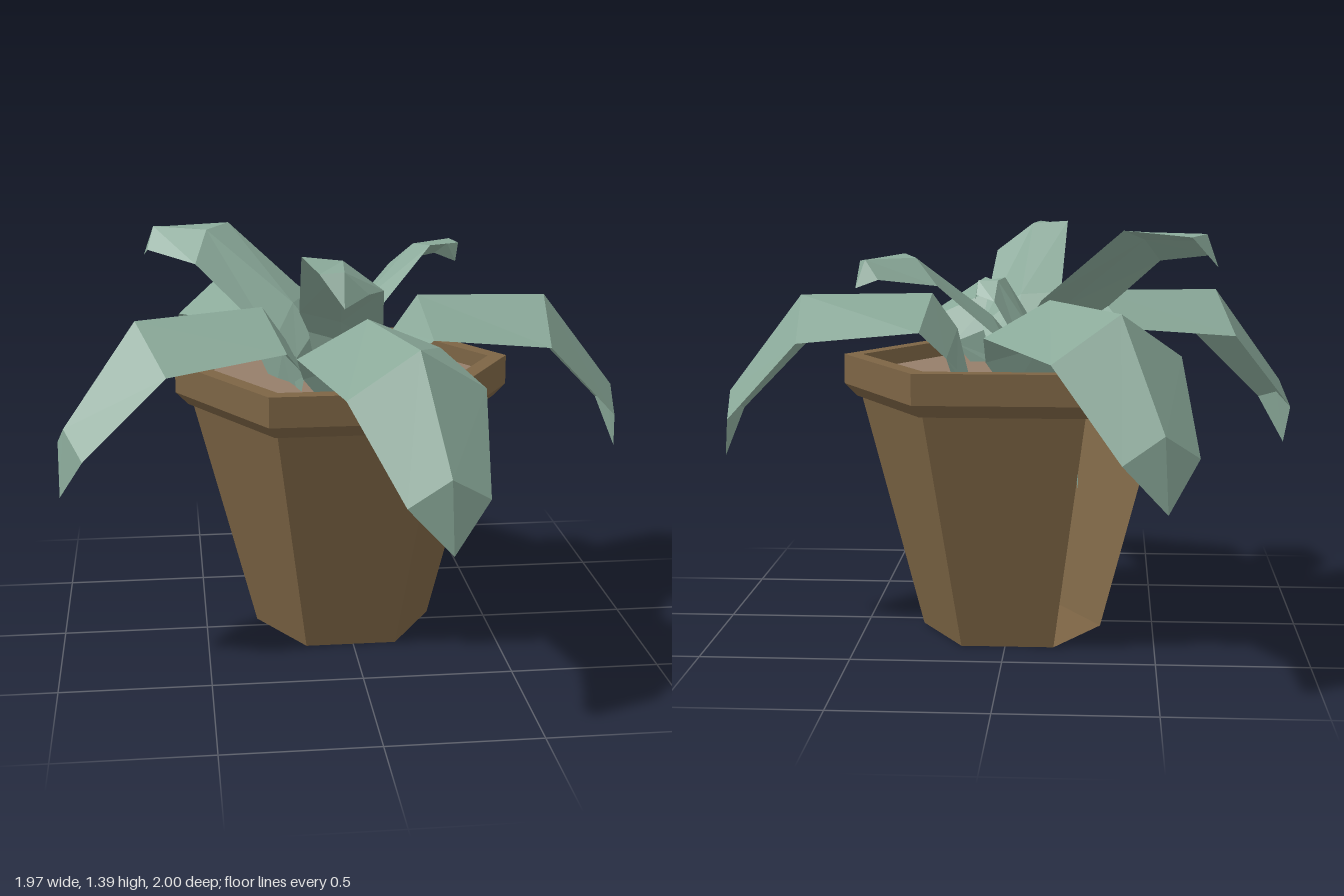
import * as THREE from 'three';

const flat = (color) => new THREE.MeshStandardMaterial({ color, flatShading: true, side: THREE.DoubleSide });

// Leaf stations from buried root to tip: [ridge distance, ridge height, half width, edge distance, edge height]
const BROAD = [
  [0.2, 0.47, 0, 0.2, 0.47],
  [0.13, 0.86, 0.1, 0.17, 0.85],
  [0.175, 1.05, 0.2, 0.195, 0.97],
  [0.26, 1.17, 0.25, 0.28, 1.06],
  [0.71, 1.163, 0.23, 0.69, 1.02],
  [0.965, 0.83, 0.135, 0.947, 0.75],
  [0.987, 0.6, 0, 0.987, 0.6],
];
const YOUNG = [
  [0.06, 0.38, 0, 0.06, 0.38],
  [0.02, 0.86, 0.07, 0.04, 0.84],
  [0.03, 1.06, 0.11, 0.05, 1.03],
  [0.11, 1.15, 0.14, 0.12, 1.1],
  [0.43, 1.385, 0.13, 0.41, 1.34],
  [0.635, 1.385, 0.075, 0.62, 1.345],
  [0.675, 1.28, 0, 0.675, 1.28],
];

// Skins a four-point cross-section (edge, ridge, edge, underside) along the leaf's +z axis
function leafGeometry(stations, tilt, reach, breadth, rise) {
  const pos = [], index = [];
  const lift = (y) => 0.86 + (y - 0.86) * rise;
  stations.forEach(([r, y, w, re, ye], k) => {
    const underR = r * 0.45 + re * 0.55, underY = y * 0.45 + ye * 0.55;
    pos.push(
      w * breadth, lift(ye - tilt * w), re * reach,
      0, lift(y), r * reach,
      -w * breadth, lift(ye + tilt * w), re * reach,
      0, lift(underY), underR * reach,
    );
    if (k === 0) return;
    for (let i = 0; i < 4; i++) {
      const j = (i + 1) % 4, a = 4 * (k - 1), b = 4 * k;
      index.push(a + i, a + j, b + j, a + i, b + j, b + i);
    }
  });
  const g = new THREE.BufferGeometry();
  g.setAttribute('position', new THREE.Float32BufferAttribute(pos, 3));
  g.setIndex(index);
  g.computeVertexNormals();
  return g;
}

export function createModel() {
  const model = new THREE.Group();
  const clay = flat(0x7d6545), earth = flat(0x957e6a), green = flat(0x8aa999);

  // Six-sided pot: floor, wall with its back right panel open, thick rim, soil
  const pot = new THREE.Group();
  pot.name = 'pot';
  pot.position.set(-0.008, 0, -0.06);
  model.add(pot);
  const addRing = (name, material, profile, start, sides) => {
    const points = profile.map(([x, y]) => new THREE.Vector2(x, y));
    const ring = new THREE.Mesh(new THREE.LatheGeometry(points, sides, start, sides * Math.PI / 3), material);
    ring.name = name;
    pot.add(ring);
  };
  addRing('floor', clay, [[0, 0], [0.31, 0]], Math.PI / 6, 6);
  addRing('wall', clay, [[0.31, 0], [0.52, 0.81]], Math.PI * 1.5, 5);
  addRing('rim', clay, [[0.52, 0.81], [0.537, 0.81], [0.58, 0.853], [0.58, 0.955], [0.515, 0.955], [0.515, 0.9]], Math.PI / 6, 6);
  addRing('soil', earth, [[0.515, 0.9], [0, 0.9]], Math.PI / 6, 6);

  // Leaves: [name, stations, root x, root z, direction x, direction z, tilt, reach, breadth, rise]
  const leaves = [
    ['broadLeafLeft', BROAD, 0, -0.1, 1, 0, 0, 1, 1, 1],
    ['broadLeafFront', BROAD, -0.025, 0.04, 0.235, 0.972, 0, 1, 1, 1],
    ['broadLeafRight', BROAD, -0.047, -0.03, -0.942, 0.335, 0, 1, 1, 1],
    ['broadLeafBack', BROAD, -0.015, -0.12, -0.508, -0.861, 0, 1, 1, 1],
    ['youngLeafRight', YOUNG, -0.075, -0.05, -0.876, -0.48, 0.42, 1.03, 1, 1],
    ['youngLeafFront', YOUNG, -0.02, -0.005, -0.09, 1, 0.42, 1, 1, 1],
    ['youngLeafLeft', YOUNG, -0.03, -0.15, 0.82, -0.57, 0.42, 0.89, 0.83, 0.85],
    ['centreSprout', YOUNG, -0.1, -0.045, 0.97, 0.2, 0.42, 0.34, 0.55, 0.66],
  ];
  for (const [name, stations, x, z, dx, dz, ...shape] of leaves) {
    const leaf = new THREE.Mesh(leafGeometry(stations, ...shape), green);
    leaf.name = name;
    leaf.position.set(x, 0, z);
    leaf.rotation.y = Math.atan2(dx, dz);
    model.add(leaf);
  }
  return model;
}
